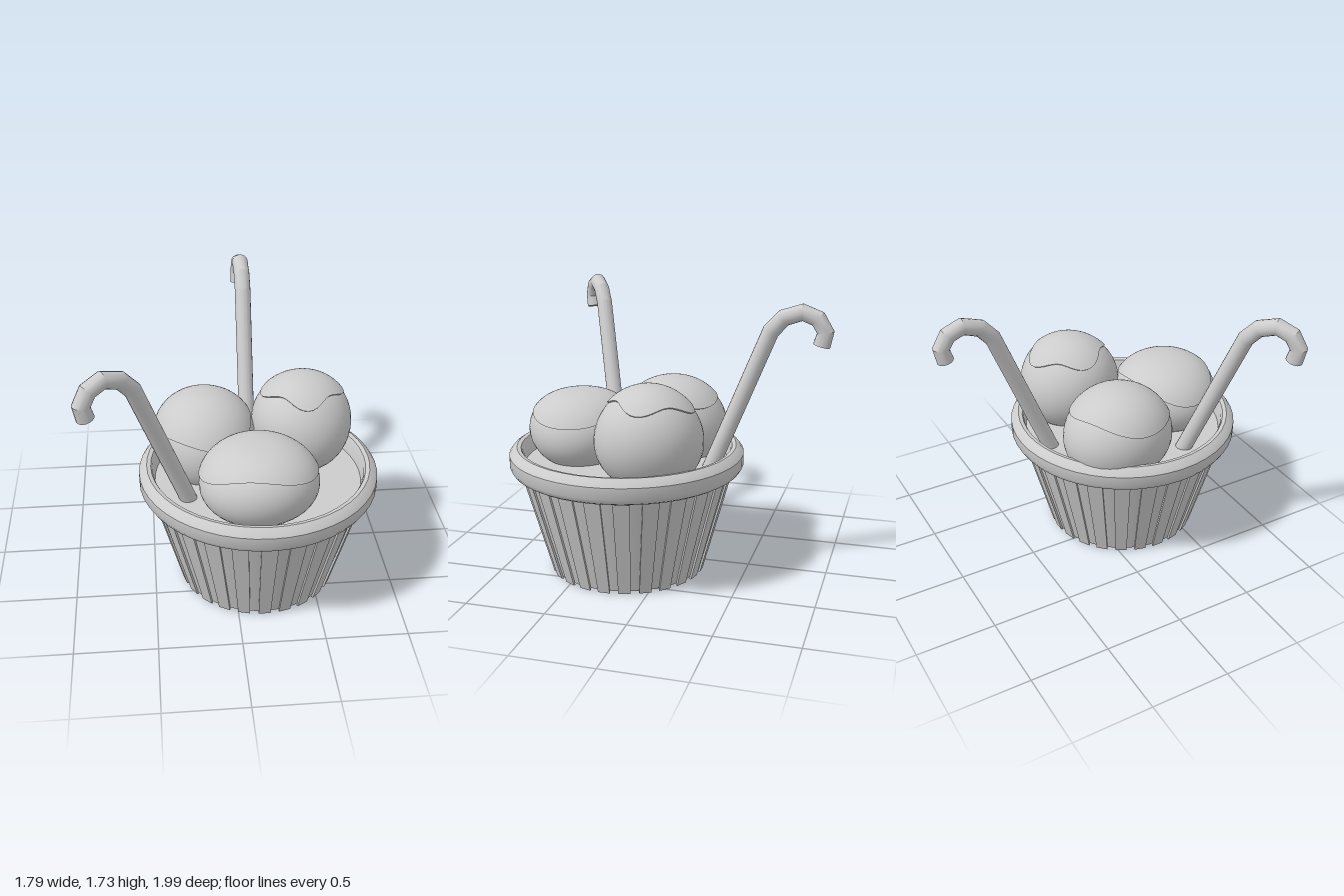
import * as THREE from 'three';
import { toCreasedNormals } from 'three/addons/utils/BufferGeometryUtils.js';

const grey = new THREE.MeshStandardMaterial({ color: 0xcccccc });
const greyBoth = new THREE.MeshStandardMaterial({ color: 0xcccccc, side: THREE.DoubleSide });

function part(name, geometry, material = grey) {
  const mesh = new THREE.Mesh(geometry, material);
  mesh.name = name;
  return mesh;
}

function lathe(points, segments, crease) {
  const g = new THREE.LatheGeometry(points.map(([r, y]) => new THREE.Vector2(r, y)), segments);
  return toCreasedNormals(g, crease);
}

// Grid of points given by fn(u, v, row) with u around and v along, as a smooth surface
function surface(fn, nu, nv) {
  const pos = [], index = [];
  for (let j = 0; j <= nv; j++)
    for (let i = 0; i < nu; i++) pos.push(...fn(i / nu, j / nv, j));
  for (let j = 0; j < nv; j++)
    for (let i = 0; i < nu; i++) {
      const a = j * nu + i, b = j * nu + (i + 1) % nu, c = a + nu, d = b + nu;
      index.push(a, b, c, b, d, c);
    }
  const g = new THREE.BufferGeometry();
  g.setAttribute('position', new THREE.Float32BufferAttribute(pos, 3));
  g.setIndex(index);
  g.computeVertexNormals();
  return g;
}

// Tapered tub with shallow vertical ribs and a fat rim
function createTub() {
  const tub = new THREE.Group();
  tub.name = 'tub';
  tub.add(part('wall', lathe([[0, 0.015], [0.48, 0.015], [0.662, 0.67]], 48, 0.5), greyBoth));
  tub.add(part('rim', lathe([
    [0.65, 0.65], [0.69, 0.65], [0.715, 0.665], [0.733, 0.695], [0.733, 0.765], [0.715, 0.79],
    [0.685, 0.81], [0.66, 0.805], [0.65, 0.785], [0.635, 0.69],
  ], 48, 0.6), greyBoth));
  const fill = new THREE.CircleGeometry(0.65, 48).rotateX(-Math.PI / 2).translate(0, 0.7, 0);
  tub.add(part('fillingSurface', fill));

  const ribs = new THREE.Group();
  ribs.name = 'ribs';
  const count = 24;
  for (let k = 0; k < count; k++) {
    const g = new THREE.BoxGeometry(1, 1, 1), p = g.attributes.position;
    for (let i = 0; i < p.count; i++) {
      const t = p.getY(i) + 0.5;
      const angle = (k + p.getX(i) * 0.58) / count * Math.PI * 2;
      const r = 0.482 + 0.184 * t + p.getZ(i) * 0.013;
      p.setXYZ(i, Math.sin(angle) * r, 0.67 * t, Math.cos(angle) * r);
    }
    g.computeVertexNormals();
    ribs.add(part('rib', g));
  }
  tub.add(ribs);
  tub.position.set(0.16, 0, 0.26);
  return tub;
}

// Lumpy scoop with a wavy sauce cap; edge(phi) is the polar angle where the cap ends
function createScoop(name, centre, radii, edge, roundness) {
  const scoop = new THREE.Group();
  scoop.name = name;
  const point = (theta, phi, grow) => {
    const lump = 1 + 0.025 * Math.sin(theta) * Math.sin(2 * phi + centre[0] * 9) * Math.sin(2 * theta);
    const s = lump * grow, across = s * Math.pow(Math.sin(theta), roundness);
    return [radii[0] * across * Math.sin(phi), radii[1] * s * Math.cos(theta),
      radii[2] * across * Math.cos(phi)];
  };
  const ball = surface((u, v) => point(0.001 + v * 3.139, -u * Math.PI * 2, 1), 40, 28);
  // the last row folds the lip into the ball
  const cap = surface((u, v, j) => {
    const phi = -u * Math.PI * 2;
    const theta = 0.001 + edge(phi) * Math.min(1, j / 12);
    return point(theta, phi, j > 12 ? 0.98 : 1.03);
  }, 48, 13);
  scoop.add(part('ball', ball), part('sauceCap', toCreasedNormals(cap, 0.7), greyBoth));
  scoop.position.set(...centre);
  return scoop;
}

// Hooked stick: a round section swept along a planar path with mitred bends
function createHookedStick(name, x, z, heading) {
  const path = [[-0.02, 0.66], [0.345, 1.56], [0.42, 1.643], [0.53, 1.68], [0.62, 1.645],
    [0.665, 1.57], [0.645, 1.49]].map(([s, y]) => new THREE.Vector2(s, y));
  const radius = 0.051, last = path.length - 1;
  const ring = (j, u, r) => {
    const before = path[j].clone().sub(path[Math.max(j - 1, 0)]).normalize();
    const after = path[Math.min(j + 1, last)].clone().sub(path[j]).normalize();
    const dir = before.add(after).normalize();
    const a = u * Math.PI * 2, n = Math.cos(a) * r;
    return [-Math.sin(a) * r, path[j].y + dir.x * n, path[j].x - dir.y * n];
  };
  // first and last rings collapse to close the ends
  const g = surface((u, v, j) => ring(Math.min(Math.max(j - 1, 0), last), u,
    j === 0 || j === last + 2 ? 0.0005 : radius), 16, last + 2);
  const stick = part(name, toCreasedNormals(g, 0.5));
  stick.position.set(x, 0, z);
  stick.rotation.y = heading;
  return stick;
}

export function createModel() {
  const model = new THREE.Group();
  model.name = 'sundaeTub';
  model.add(createTub());
  model.add(
    createScoop('frontScoop', [0.133, 0.88, 0.567], [0.356, 0.243, 0.328],
      (p) => 1.1 - 0.2 * Math.cos(2 * p) + 0.05 * Math.sin(3 * p), 0.85),
    createScoop('rightScoop', [-0.155, 0.87, 0.045], [0.315, 0.305, 0.35],
      (p) => 1.1 + 0.15 * Math.cos(p) + 0.07 * Math.sin(3 * p), 0.95),
    createScoop('leftScoop', [0.457, 0.945, 0.025], [0.314, 0.316, 0.328],
      (p) => 0.82 + 0.1 * Math.cos(4 * p) - 0.06 * Math.cos(p), 1),
  );
  model.add(
    createHookedStick('backStick', 0.147, -0.285, Math.PI),
    createHookedStick('sideStick', -0.285, 0.465, Math.atan2(-0.84, 0.545)),
  );
  return model;
}
